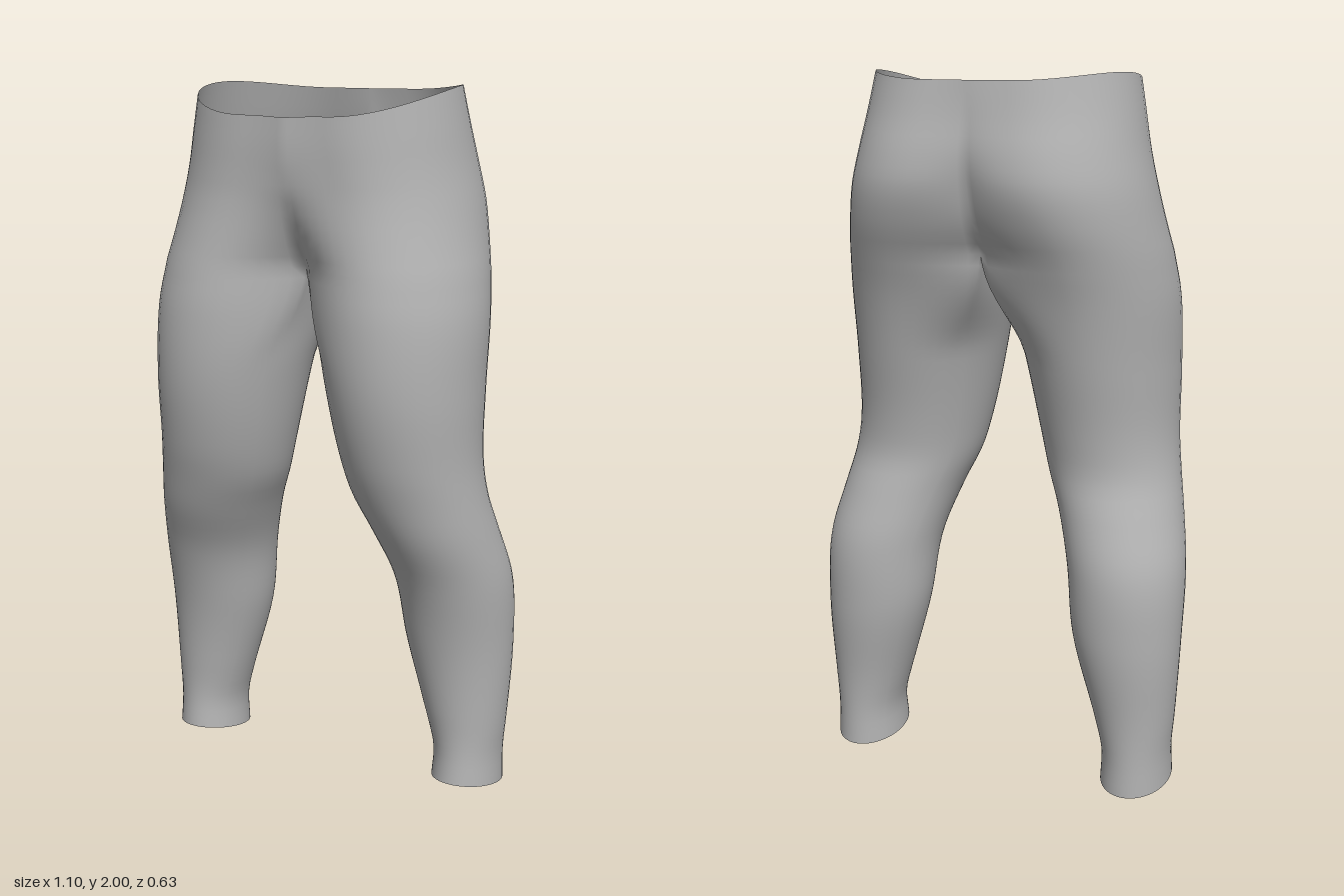
import * as THREE from 'three';
import { mergeGeometries, mergeVertices } from 'three/addons/utils/BufferGeometryUtils.js';

const CROTCH = 1.52;   // height where the legs part
const OUTER = 36;      // steps round the outside of one half
const INNER = 16;      // steps along the inner thigh
const T0 = Math.PI - Math.asin(0.6); // angle at which the outer arc starts

// height, inner x, outer x, front z, back z of one leg
const LEG = [
  [0, 0.33, 0.53, 0.08, -0.175], [0.1, 0.333, 0.528, 0.07, -0.172], [0.2, 0.31, 0.536, 0.07, -0.176],
  [0.45, 0.24, 0.55, 0.095, -0.203], [0.65, 0.213, 0.548, 0.145, -0.2], [0.8, 0.165, 0.52, 0.21, -0.16],
  [0.9, 0.122, 0.5, 0.245, -0.132], [1.0, 0.096, 0.487, 0.275, -0.135], [1.2, 0.055, 0.485, 0.31, -0.17],
  [1.4, 0.015, 0.483, 0.31, -0.215], [CROTCH, 0, 0.467, 0.293, -0.255],
];
// height, centre x of the curve, outer x, front z, back z, front z and back z on the middle line
const HIPS = [
  [CROTCH, 0.2335, 0.467, 0.293, -0.255, 0.14, -0.18], [1.6, 0.21, 0.45, 0.28, -0.288, 0.2, -0.23],
  [1.7, 0.18, 0.43, 0.267, -0.312, 0.25, -0.262], [1.8, 0.16, 0.408, 0.264, -0.303, 0.268, -0.276],
  [1.9, 0.14, 0.39, 0.264, -0.277, 0.274, -0.267], [2.0, 0.125, 0.372, 0.262, -0.255, 0.272, -0.257],
];

// Smooth lookup of a table by height
function sampler(table) {
  const size = table[0].length - 1;
  const spline = new THREE.CubicInterpolant(table.map(r => r[0]), table.flatMap(r => r.slice(1)), size, new Float32Array(size));
  return y => Array.from(spline.evaluate(y));
}
const legAt = sampler(LEG), hipsAt = sampler(HIPS);

// Half a pelvis: front middle line, round the outside, to the back middle line
function hipArc([xc, xOut, zF, zB, zFc, zBc], t) {
  const c = Math.cos(t), mid = (zF + zB) / 2;
  if (c >= 0) return [xc + (xOut - xc) * c, mid + (zF - zB) / 2 * Math.sin(t)];
  const s = Math.min(1, c / Math.cos(T0)), front = Math.sin(t) > 0;
  const z = front ? zF : zB, zc = front ? zFc : zBc;
  return [xc * (1 - s), z + (zc - z) * s * s];
}

function hipPoint(y, i) {
  const [x, z] = hipArc(hipsAt(y), T0 * (1 - 2 * i / OUTER));
  const u = (z + 0.08) / 0.35, w = THREE.MathUtils.clamp((y - 1.7) / 0.3, 0, 1);
  return [x, y - 0.078 * u * u * w, z]; // waistband dips at the front
}

function legPoint(y, i) {
  const [xIn, xOut, zF, zB] = legAt(y);
  const xc = (xIn + xOut) / 2, a = (xOut - xIn) / 2, mid = (zF + zB) / 2, b = (zF - zB) / 2;
  const k = THREE.MathUtils.smoothstep(y, 1.22, CROTCH); // 1 at the crotch
  const h = hipsAt(CROTCH), v = (i - OUTER) / INNER;
  const t = v <= 0 ? T0 * (1 - 2 * i / OUTER) : -T0 - 2 * (Math.PI - T0) * v;
  let x = xc + a * Math.cos(t), z = mid + b * Math.sin(t), dip = 0, p;
  if (v <= 0) {
    p = hipArc([xc, xOut, zF, zB, h[4], h[5]], t);
    p[0] = Math.max(p[0], xIn);
  } else {
    p = [xIn, h[5] + (h[4] - h[5]) * v];
    dip = 0.03 * Math.sin(Math.PI * v) * k;
  }
  x += (p[0] - x) * k;
  z += (p[1] - z) * k;
  const hem = 0.045 * (z + 0.175) / 0.255 * Math.max(0, 1 - y / 0.25); // hem rises at the front
  return [x, y + hem - dip, z];
}

// Skin a grid of points; side -1 mirrors it
function skin(point, y0, y1, rows, cols, side) {
  const pos = [], index = [];
  for (let j = 0; j <= rows; j++) {
    for (let i = 0; i <= cols; i++) {
      const [x, y, z] = point(y0 + (y1 - y0) * j / rows, i);
      pos.push(side * x, y, z);
      if (i === cols || j === rows) continue;
      const a = j * (cols + 1) + i, b = a + 1, c = a + cols + 1, d = c + 1;
      index.push(...(side > 0 ? [a, b, d, a, d, c] : [a, d, b, a, c, d]));
    }
  }
  const g = new THREE.BufferGeometry();
  g.setAttribute('position', new THREE.Float32BufferAttribute(pos, 3));
  g.setIndex(index);
  return g;
}

export function createModel() {
  const fabric = new THREE.MeshStandardMaterial({ color: 0xb2b2b2, side: THREE.DoubleSide });
  fabric.name = 'grey fabric';

  // Both halves of the hips and both legs, welded so shading runs across the seams
  const parts = [1, -1].flatMap(side => [
    skin(hipPoint, CROTCH, 2, 16, OUTER, side),
    skin(legPoint, 0, CROTCH, 48, OUTER + INNER, side),
  ]);
  const geometry = mergeVertices(mergeGeometries(parts), 1e-4);
  geometry.computeVertexNormals();

  const leggings = new THREE.Mesh(geometry, fabric);
  leggings.name = 'leggings';
  const group = new THREE.Group();
  group.name = 'leggingsModel';
  group.add(leggings);
  return group;
}
